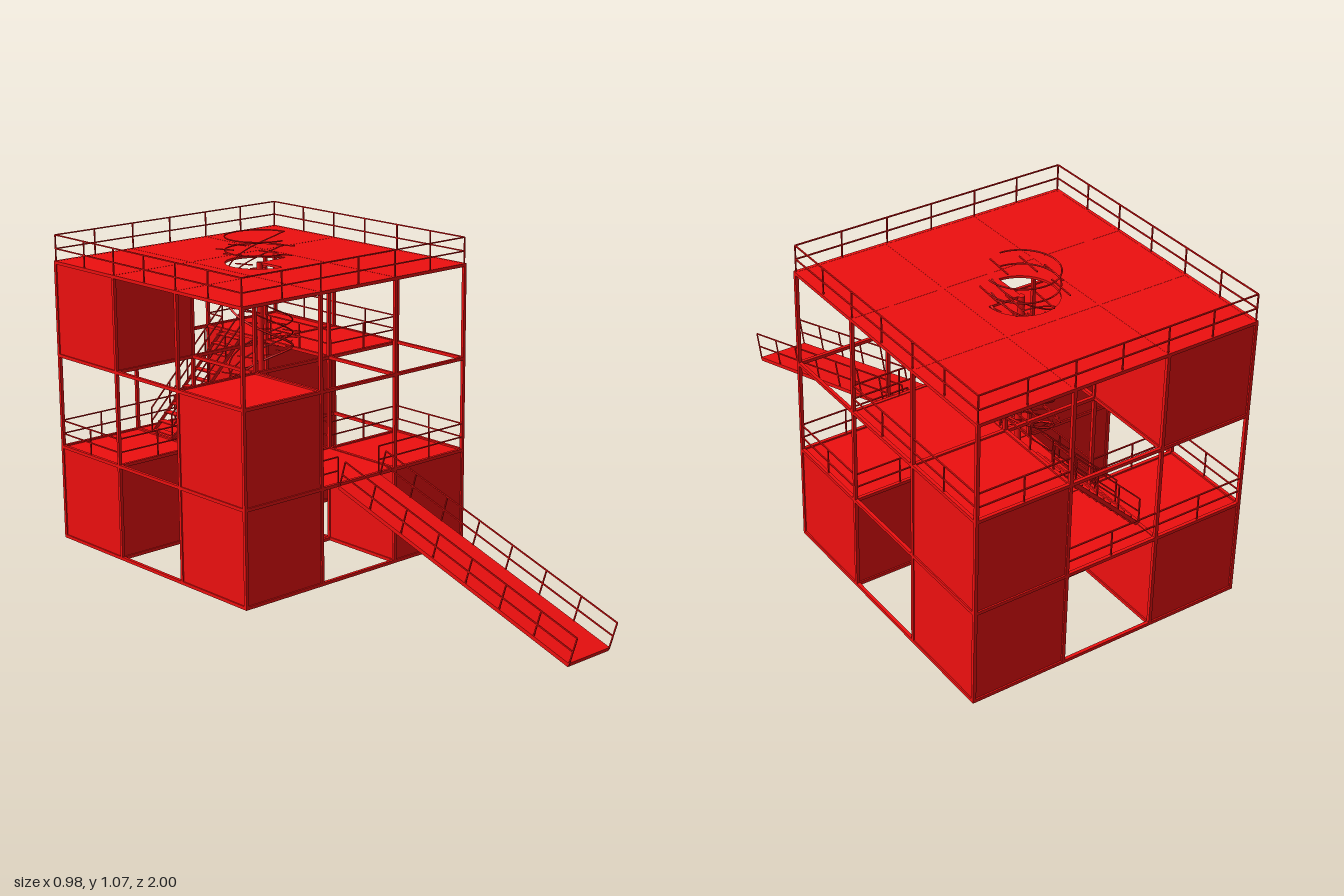
import * as THREE from 'three';

const C = 0.325;                                // cell width
const X = [-0.482, -0.163, 0.163, 0.482];       // grid lines, left-right
const Z = [-0.03, -0.35, -0.675, -0.995];       // grid lines, front to back
const Y = [0.02, 0.343, 0.665, 0.985];          // floor levels
const MZ = -0.5125;                             // spiral centre
const red = new THREE.MeshStandardMaterial({ color: 0xee0f0f });
const V = (x, y, z) => new THREE.Vector3(x, y, z);

function group(parent, name) {
  const g = new THREE.Group();
  g.name = name;
  parent.add(g);
  return g;
}

function mesh(parent, name, geometry) {
  const m = new THREE.Mesh(geometry, red);
  m.name = name;
  parent.add(m);
  return m;
}

function box(parent, name, w, h, d, x, y, z) {
  const m = mesh(parent, name, new THREE.BoxGeometry(w, h, d));
  m.position.set(x, y, z);
  return m;
}

// Square bar between two points
function bar(parent, name, a, b, t, w = t) {
  const m = mesh(parent, name, new THREE.BoxGeometry(w, t, a.distanceTo(b)));
  m.position.copy(a).add(b).multiplyScalar(0.5);
  m.lookAt(b);
  return m;
}

// Two rails with evenly spaced posts; up is the offset from floor to top rail
function railing(parent, a, b, up = V(0, 0.093, 0), spacing = 0.163) {
  const at = (p, k) => p.clone().addScaledVector(up, k);
  for (const k of [0.5, 1]) bar(parent, 'rail', at(a, k), at(b, k), 0.004);
  const n = Math.max(1, Math.round(a.distanceTo(b) / spacing));
  for (let i = 0; i <= n; i++) {
    const p = a.clone().lerp(b, i / n);
    bar(parent, 'railPost', p, at(p, 1), 0.004);
  }
}

function buildFrame(root) {
  const g = group(root, 'frame');
  const t = 0.011;
  for (const x of X) for (const z of Z) bar(g, 'column', V(x, Y[0], z), V(x, Y[3], z), t);
  for (const y of Y) {
    for (const x of X) bar(g, 'beam', V(x, y, Z[0] + t / 2), V(x, y, Z[3] - t / 2), t);
    for (const z of Z) bar(g, 'beam', V(X[0], y, z), V(X[3], y, z), t);
  }
}

// Closed rooms and open floor panels, as [column, row, level]
function buildRooms(root) {
  const g = group(root, 'rooms');
  const mid = (a, i) => (a[i] + a[i + 1]) / 2;
  const rooms = [[0, 0, 0], [2, 0, 0], [0, 2, 0], [2, 2, 0], [0, 0, 1], [2, 2, 1], [0, 2, 2]];
  for (const [i, j, k] of rooms)
    box(g, 'room', C - 0.004, Y[k + 1] - Y[k], C - 0.004, mid(X, i), mid(Y, k), mid(Z, j));
  const floors = [[1, 0, 1], [1, 1, 1], [1, 2, 1], [2, 1, 2]];
  for (const [i, j, k] of floors) box(g, 'floor', C, 0.006, C, mid(X, i), Y[k], mid(Z, j));
}

// Roof slab with a three-quarter opening for the spiral stair
function buildRoof(root) {
  const s = new THREE.Shape();
  const h = 0.4875;
  s.moveTo(-h, -h).lineTo(h, -h).lineTo(h, h).lineTo(-h, h).closePath();
  const hole = new THREE.Path();
  hole.moveTo(0, 0).lineTo(0.116, 0);
  hole.absarc(0, 0, 0.116, 0, Math.PI * 1.5, false);
  hole.closePath();
  s.holes.push(hole);
  const geo = new THREE.ExtrudeGeometry(s, { depth: 0.008, bevelEnabled: false, curveSegments: 32 });
  geo.rotateX(-Math.PI / 2);
  mesh(root, 'roof', geo).position.set(0, 0.982, MZ);
}

function buildRailings(root) {
  const g = group(root, 'railings');
  const run = (y, list) => list.forEach(([x0, z0, x1, z1]) => railing(g, V(x0, y, z0), V(x1, y, z1)));
  const [a, b, c, d] = X, [p, q, r, s] = Z;
  run(Y[1], [
    [c, p, d, p], [d, p, d, q], [d, q, c, q], [b, p, -0.09, p], [0.09, p, c, p],
    [c, q, c, r], [b, q, b, r], [b, r, a, r], [a, r, a, s], [a, s, c, s],
  ]);
  run(Y[2], [[c, q, d, q], [d, q, d, s], [d, s, c, s], [c, q, c, -0.8], [c, -0.914, c, s]]);
  run(Y[3], [[a, p, d, p], [d, p, d, s], [d, s, a, s], [a, s, a, p]]);
}

function buildRamp(root) {
  const g = group(root, 'ramp');
  const top = V(0, 0.334, -0.025), foot = V(0, 0.018, 0.966);
  bar(g, 'rampDeck', top, foot, 0.013, 0.184);
  const dir = foot.clone().sub(top).normalize();
  const up = V(0, dir.z, -dir.y).multiplyScalar(0.097);
  for (const x of [-0.09, 0.09])
    railing(g, top.clone().setX(x), foot.clone().setX(x), up, 0.149);
}

// Straight flight across the back bay
function buildStraightStair(root) {
  const g = group(root, 'straightStair');
  const n = 12;
  for (const z of [-0.8, -0.914]) {
    const a = V(X[1], Y[1], z), b = V(X[2], Y[2], z);
    bar(g, 'stringer', a, b, 0.012, 0.004);
    railing(g, a, b, V(0, 0.093, 0), 0.11);
  }
  for (let i = 0; i < n; i++) {
    const f = (i + 0.5) / n;
    box(g, 'step', 0.028, 0.004, 0.114, X[1] + f * 0.326, Y[1] + f * 0.322, -0.857);
  }
}

function buildSpiralStair(root) {
  const g = group(root, 'spiralStair');
  g.position.set(0, 0, MZ);
  const perTurn = 16, n = perTurn * 2, R = 0.108;
  const rise = (0.99 - Y[1]) / n, step = Math.PI * 2 / perTurn;
  const pole = mesh(g, 'pole', new THREE.CylinderGeometry(0.011, 0.011, 0.99 - Y[1], 16));
  pole.position.y = (0.99 + Y[1]) / 2;

  // Wedge treads turning from the left side toward the front
  const wedge = new THREE.Shape();
  wedge.moveTo(0, 0);
  wedge.absarc(0, 0, R, 0, step, false);
  wedge.closePath();
  const tread = new THREE.ExtrudeGeometry(wedge, { depth: 0.004, bevelEnabled: false, curveSegments: 3 });
  tread.rotateX(-Math.PI / 2);
  const point = (i, h) => V(R * Math.cos(i * step), Y[1] + i * rise + h, R * Math.sin(i * step));
  for (let i = 0; i < n; i++) {
    const m = mesh(g, 'tread', tread);
    m.position.y = Y[1] + (i + 1) * rise - 0.004;
    m.rotation.y = -(i + 1) * step;
    if (i % 2 === 0) bar(g, 'railPost', point(i + 0.5, 0), point(i + 0.5, 0.09), 0.004);
  }
  for (const h of [0, 0.045, 0.09]) {
    const pts = Array.from({ length: n + 1 }, (_, i) => point(i, h));
    const path = new THREE.CatmullRomCurve3(pts);
    mesh(g, h ? 'spiralRail' : 'spiralStringer', new THREE.TubeGeometry(path, 128, h ? 0.0025 : 0.004, 6));
  }

  // Guard around the roof opening
  const guard = group(g, 'openingGuard');
  for (const h of [0.0465, 0.093]) {
    const ring = new THREE.TorusGeometry(0.116, 0.0025, 6, 48, Math.PI * 1.5);
    ring.rotateX(-Math.PI / 2);
    mesh(guard, 'guardRail', ring).position.y = Y[3] + h;
  }
  for (let i = 0; i <= 6; i++) {
    const t = i * Math.PI / 4, x = 0.116 * Math.cos(t), z = -0.116 * Math.sin(t);
    bar(guard, 'guardPost', V(x, Y[3], z), V(x, Y[3] + 0.093, z), 0.004);
  }
}

export function createModel() {
  const root = new THREE.Group();
  root.name = 'cubeBuilding';
  for (const build of [buildFrame, buildRooms, buildRoof, buildRailings, buildRamp, buildStraightStair, buildSpiralStair])
    build(root);
  return root;
}
